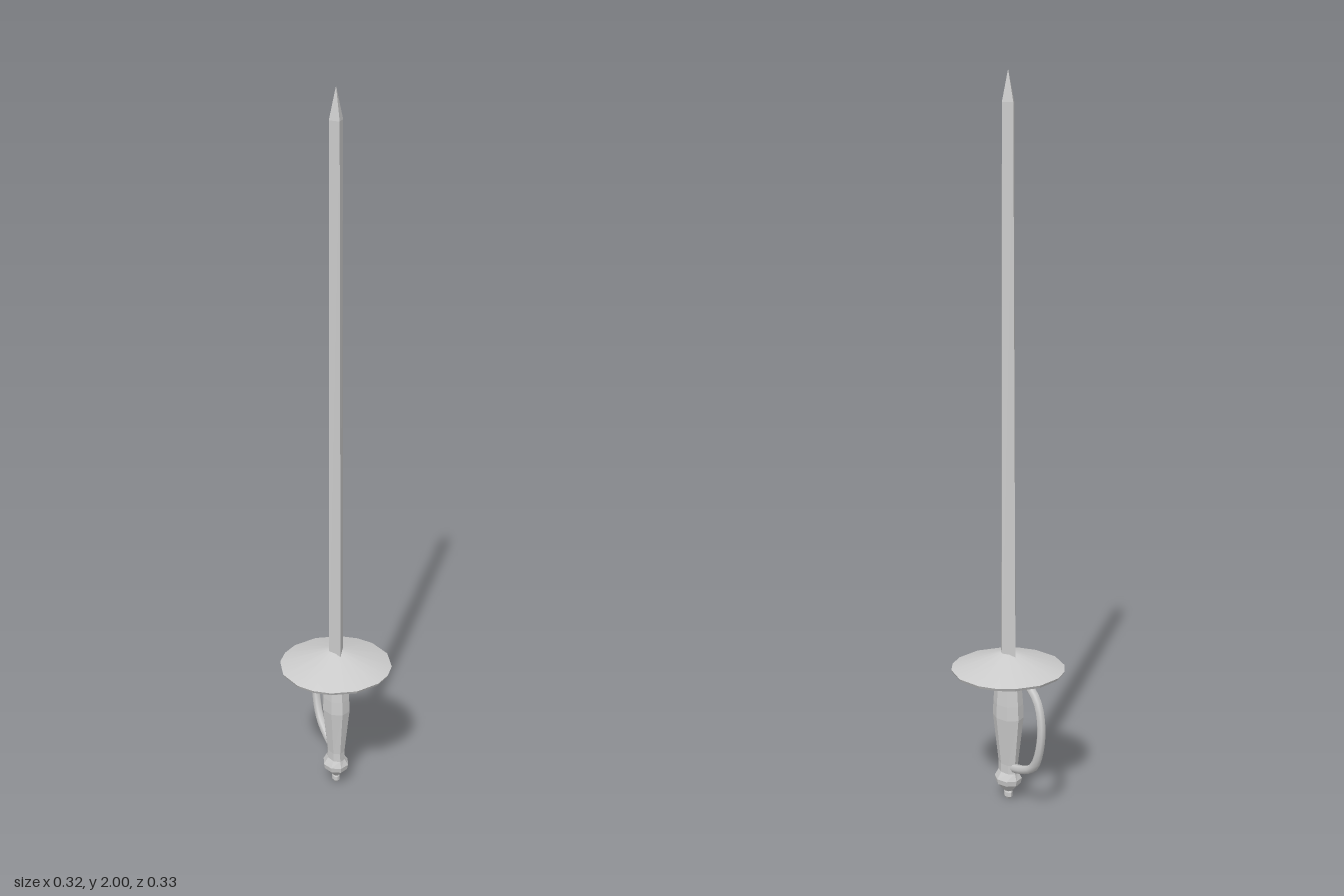
import * as THREE from 'three';

const AXIS_Z = 0.01; // blade, guard and grip share this centre line

// Stack of elliptical rings [y, halfWidthX, halfDepthZ], listed bottom to top
function loft(rings, sides, flat, warp = (a) => a) {
  const pos = [], idx = [];
  for (const [y, rx, rz] of rings) {
    for (let i = 0; i < sides; i++) {
      const a = warp((i / sides) * Math.PI * 2);
      pos.push(Math.sin(a) * rx, y, Math.cos(a) * rz);
    }
  }
  for (let r = 0; r < rings.length - 1; r++) {
    for (let i = 0; i < sides; i++) {
      const j = (i + 1) % sides;
      const a = r * sides + i, b = r * sides + j;
      idx.push(a, b, b + sides, a, b + sides, a + sides);
    }
  }
  const top = (rings.length - 1) * sides;
  for (let i = 1; i < sides - 1; i++) {
    idx.push(0, i + 1, i, top, top + i, top + i + 1);
  }
  let geo = new THREE.BufferGeometry();
  geo.setAttribute('position', new THREE.Float32BufferAttribute(pos, 3));
  geo.setIndex(idx);
  if (flat) geo = geo.toNonIndexed();
  geo.computeVertexNormals();
  return geo;
}

export function createModel() {
  const group = new THREE.Group();
  const flat = new THREE.MeshStandardMaterial({ color: 0xcccccc, flatShading: true });
  const smooth = new THREE.MeshStandardMaterial({ color: 0xcccccc });

  const add = (name, geo, mat, z = AXIS_Z) => {
    const mesh = new THREE.Mesh(geo, mat);
    mesh.name = name;
    mesh.position.z = z;
    group.add(mesh);
  };

  // Diamond-section blade, tapering to a point
  add('blade', loft([
    [0.41, 0.021, 0.036],
    [1.92, 0.019, 0.024],
    [2.0, 0.0005, 0.0005],
  ], 4, true), flat);

  // Shallow conical guard: smooth top, separate rim and flat underside
  const evenOut = (a) => a + 0.07 * Math.sin(4 * a);
  const cone = new THREE.LatheGeometry(
    [new THREE.Vector2(0.158, 0.391), new THREE.Vector2(0.022, 0.437), new THREE.Vector2(0, 0.437)], 16);
  const p = cone.attributes.position;
  for (let i = 0; i < p.count; i++) {
    const r = Math.hypot(p.getX(i), p.getZ(i));
    const a = evenOut(Math.atan2(p.getX(i), p.getZ(i)));
    p.setXYZ(i, Math.sin(a) * r, p.getY(i), Math.cos(a) * r);
  }
  add('guardTop', cone, smooth);
  add('guardRim', loft([
    [0.383, 0.154, 0.154],
    [0.391, 0.158, 0.158],
  ], 16, true, evenOut), flat);

  // Faceted grip, swelling in the middle
  add('grip', loft([
    [0.07, 0.024, 0.035],
    [0.11, 0.024, 0.034],
    [0.25, 0.039, 0.051],
    [0.29, 0.038, 0.049],
    [0.388, 0.03, 0.04],
  ], 8, true), flat);

  // Pommel with its end button
  add('pommel', loft([
    [0.025, 0.011, 0.014],
    [0.05, 0.034, 0.039],
    [0.065, 0.037, 0.042],
    [0.085, 0.024, 0.034],
  ], 8, true), flat);
  add('pommelButton', loft([
    [0, 0.006, 0.008],
    [0.008, 0.011, 0.015],
    [0.02, 0.011, 0.015],
    [0.03, 0.008, 0.01],
  ], 8, true), flat);

  // Knuckle bow behind the grip, from guard to pommel
  const path = new THREE.CatmullRomCurve3([
    [0.378, -0.015], [0.37, -0.09], [0.335, -0.135], [0.265, -0.153],
    [0.18, -0.138], [0.138, -0.112], [0.112, -0.06], [0.1, -0.012],
  ].map(([y, z]) => new THREE.Vector3(0, y, z)));
  const bow = new THREE.TubeGeometry(path, 20, 0.0125, 6, false);
  add('knuckleBow', bow, smooth, 0);

  return group;
}
